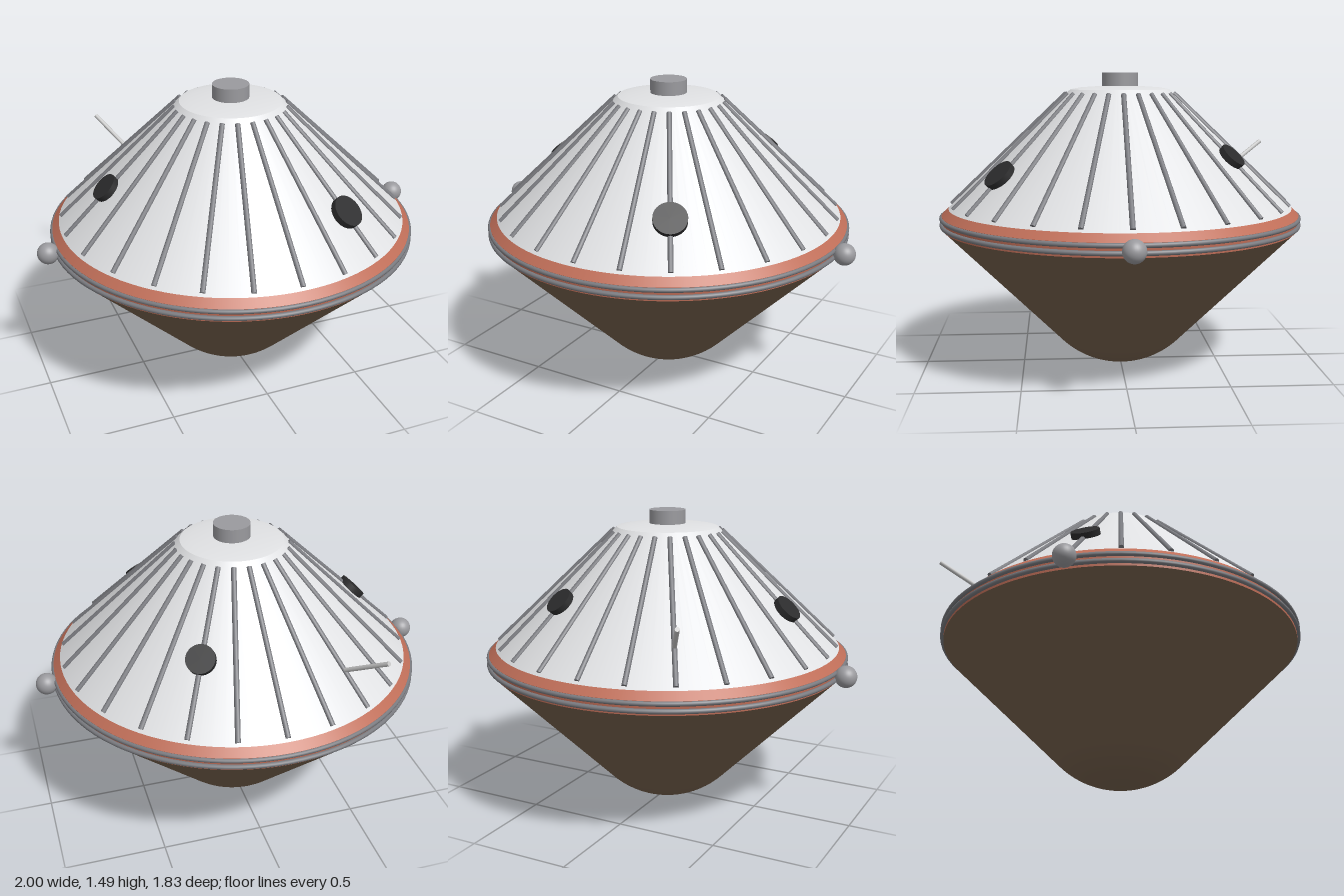
import * as THREE from 'three';

const paint = (name, color) => {
  const m = new THREE.MeshStandardMaterial({ color });
  m.name = name;
  return m;
};

export function createModel() {
  const white = paint('hull white', 0xe0e1e3);
  const brown = paint('heat shield brown', 0x75604c);
  const orange = paint('band orange', 0xbf6e58);
  const ribGray = paint('rib gray', 0x7a7b80);
  const gray = paint('fitting gray', 0x9a9a9e);
  const black = paint('window black', 0x2c2c2d);
  const silver = paint('antenna silver', 0xc8c8c8);

  const model = new THREE.Group();
  model.name = 'entryCapsule';
  const add = (name, geometry, material, parent = model) => {
    const mesh = new THREE.Mesh(geometry, material);
    mesh.name = name;
    parent.add(mesh);
    return mesh;
  };
  const lathe = (name, points, material) =>
    add(name, new THREE.LatheGeometry(points.map(p => new THREE.Vector2(...p)), 96), material);

  // Point at radius r, height y and angle a around the axis
  const polar = (r, y, a) => new THREE.Vector3(r * Math.cos(a), y, r * Math.sin(a));
  const UP = new THREE.Vector3(0, 1, 0);
  const rod = (name, from, to, radius, material, parent = model) => {
    const dir = to.clone().sub(from);
    const mesh = add(name, new THREE.CylinderGeometry(radius, radius, dir.length(), 10), material, parent);
    mesh.position.copy(from).add(to).multiplyScalar(0.5);
    mesh.quaternion.setFromUnitVectors(UP, dir.normalize());
    return mesh;
  };

  // Heat shield: spherical nose running into a 45 degree cone
  const nose = [];
  const R = 0.44;
  for (let i = 0; i <= 14; i++) {
    const t = (i / 14) * Math.PI / 4;
    nose.push([R * Math.sin(t), 0.007 + R * (1 - Math.cos(t))]);
  }
  lathe('heatShield', [...nose, [0.897, 0.72]], brown);

  // Rim band with a chamfered top edge and two rings around it
  lathe('rimBandSide', [[0.897, 0.72], [0.903, 0.787]], orange);
  lathe('rimBandChamfer', [[0.903, 0.787], [0.868, 0.822]], orange);
  for (const y of [0.775, 0.741]) {
    const ring = add('rimRing', new THREE.TorusGeometry(0.903, 0.0115, 10, 96), ribGray);
    ring.rotation.x = Math.PI / 2;
    ring.position.y = y;
  }

  // Back shell, with a shallow lid and a hub
  lathe('backShell', [[0.87, 0.818], [0.25, 1.41]], white);
  lathe('lid', [[0.25, 1.41], [0.2, 1.419], [0.1, 1.426], [0, 1.427]], white);
  add('hub', new THREE.CylinderGeometry(0.09, 0.09, 0.08, 32), gray).position.y = 1.453;

  // Ribs along the back shell
  const shellY = r => 0.82 + (0.87 - r) * 0.952;
  const ribs = new THREE.Group();
  ribs.name = 'ribs';
  model.add(ribs);
  for (let i = 0; i < 24; i++) {
    const a = (i / 24) * Math.PI * 2;
    rod('rib', polar(0.855, shellY(0.855), a), polar(0.272, shellY(0.272), a), 0.0125, ribGray, ribs);
  }

  // Round windows facing out along the shell's normal
  for (const [r, deg, size] of [[0.64, 180, 0.07], [0.68, 60, 0.079], [0.598, -60, 0.069]]) {
    const a = deg * Math.PI / 180;
    const disc = add('window', new THREE.CylinderGeometry(size, size, 0.04, 32), black);
    disc.position.copy(polar(r, shellY(r) + 0.01, a));
    disc.quaternion.setFromUnitVectors(UP, polar(0.69, 0.725, a).normalize());
  }

  // Side balls
  for (const side of [-1, 1]) {
    add(side > 0 ? 'leftBall' : 'rightBall', new THREE.SphereGeometry(0.053, 32, 20), gray)
      .position.set(side * 0.947, 0.758, 0);
  }

  // Antenna at the back right
  const back = -120 * Math.PI / 180;
  rod('antenna', polar(0.67, 0.95, back), polar(0.945, 1.11, back), 0.011, silver);

  return model;
}
